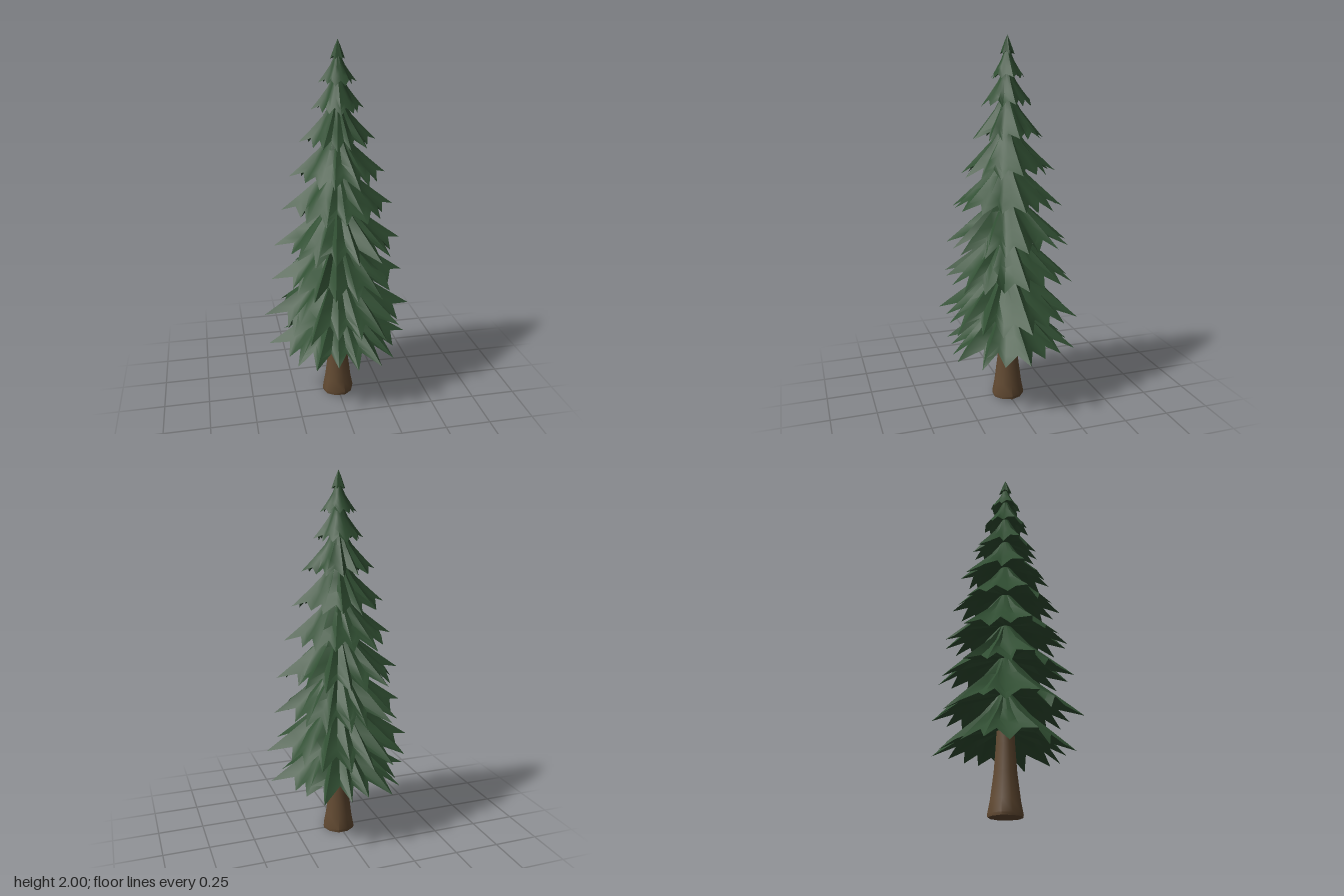
import * as THREE from 'three';
import { toCreasedNormals } from 'three/addons/utils/BufferGeometryUtils.js';

// Small repeatable variation in -1..1
const vary = (a, b) => {
  const s = Math.sin(a * 127.1 + b * 311.7) * 43758.5453;
  return (s - Math.floor(s)) * 2 - 1;
};

// Joins equal-length rings of points into a surface
function skin(rings) {
  const n = rings[0].length;
  const index = [];
  for (let r = 0; r < rings.length - 1; r++) {
    for (let k = 0; k < n; k++) {
      const a = r * n + k, b = r * n + (k + 1) % n;
      index.push(a, b, a + n, b, b + n, a + n);
    }
  }
  const geometry = new THREE.BufferGeometry();
  geometry.setAttribute('position', new THREE.Float32BufferAttribute(rings.flat(2), 3));
  geometry.setIndex(index);
  return toCreasedNormals(geometry, 0.75);
}

// One skirt of drooping pointed branches: pleated top, shallow underside
function tierGeometry(seed, tipY, topY, radius, depth, tips) {
  const H = topY - tipY;
  const size = radius / 0.4;
  const r0 = 0.1 * radius;
  const reach = [1, 0.8, 0.88, 0.98, 0.92];
  const columns = Array.from({ length: tips * 2 }, (_, k) => {
    const isTip = k % 2 === 0;
    const quarter = Math.abs(((k / 2) % tips) - (k / 2 > tips / 2 ? tips : 0));
    const fold = Math.min(quarter, tips / 2 - quarter);
    const main = isTip && fold === 0;
    const twist = main ? 0 : vary(seed, k) * 0.3;
    const angle = (k + twist) * Math.PI / tips;
    // Sideways branches are longest, front and back ones slightly shorter
    const oval = 1 - (1 - depth / radius) * Math.sin(angle) ** 2;
    const jag = main ? 1 : reach[Math.round(fold) % 5] + vary(seed + 7, k) * 0.04;
    const length = isTip ? radius * jag * (main ? 1 : Math.min(1, oval + 0.08))
      : radius * oval * (0.75 + vary(seed + 3, k) * 0.05);
    const sag = main ? 0 : isTip ? 0.03 + 0.015 * vary(seed + 5, k) : 0.01;
    return { angle, length, isTip, sag: sag * size };
  });

  const ring = (t, under) => columns.map(({ angle, length, isTip, sag }) => {
    const r = r0 + (length - r0) * t;
    const along = isTip ? t : t * 0.82;
    let y = topY - H * Math.pow(along, 0.72) - sag * t * t;
    // Ridges run out to the tips, valleys sink between them
    y += (isTip ? 0.011 : -0.006) * size * 4 * t * (1 - t);
    if (under) y -= (isTip ? 0.03 : 0.012) * size;
    return [Math.cos(angle) * r, y, Math.sin(angle) * r];
  });

  const inner = (r, drop) => columns.map(({ angle }) =>
    [Math.cos(angle) * r, topY - H * drop, Math.sin(angle) * r]);
  return skin([ring(0), ring(0.3), ring(0.62), ring(0.85), ring(1),
    ring(0.65, true), inner(r0, 0.68), inner(0.0005, 0.66)]);
}

export function createModel() {
  const tree = new THREE.Group();
  tree.name = 'firTree';
  const needles = new THREE.MeshStandardMaterial({ color: 0x304e32, side: THREE.DoubleSide });
  needles.name = 'needle green';
  const bark = new THREE.MeshStandardMaterial({ color: 0x624a32 });
  bark.name = 'bark brown';

  const add = (name, geometry, material) => {
    const mesh = new THREE.Mesh(geometry, material);
    mesh.name = name;
    tree.add(mesh);
  };

  // Trunk with a flared foot, ending inside the lowest branches
  const sides = 10;
  const trunkRing = (r, y) => Array.from({ length: sides }, (_, k) => {
    const a = k / sides * Math.PI * 2;
    const w = r * (1 + (k % 2 ? -0.03 : 0));
    return [Math.cos(a) * w, y, Math.sin(a) * w];
  });
  add('trunk', skin([
    trunkRing(0.001, 0.48), trunkRing(0.045, 0.47), trunkRing(0.05, 0.36), trunkRing(0.06, 0.22),
    trunkRing(0.078, 0.08), trunkRing(0.091, 0.015), trunkRing(0.089, 0), trunkRing(0.001, 0),
  ]), bark);

  // Branch tiers: tip height, top height, half width, half depth, branch count
  const tiers = [
    [0.34, 0.62, 0.395, 0.33, 18],
    [0.52, 0.82, 0.415, 0.355, 18],
    [0.735, 1.01, 0.368, 0.335, 18],
    [0.93, 1.20, 0.35, 0.325, 18],
    [1.13, 1.38, 0.305, 0.29, 16],
    [1.31, 1.55, 0.26, 0.24, 14],
    [1.49, 1.71, 0.205, 0.175, 14],
    [1.655, 1.84, 0.14, 0.15, 12],
    [1.79, 1.935, 0.10, 0.10, 10],
  ];
  tiers.forEach((tier, i) => add('branchTier' + (i + 1), tierGeometry(i + 1, ...tier), needles));

  // Pointed crown
  const crownRing = (r, y, dip) => Array.from({ length: 12 }, (_, k) => {
    const a = k / 12 * Math.PI * 2;
    const w = k % 2 ? r * 0.75 : r;
    return [Math.cos(a) * w, y - (k % 2 ? 0 : dip), Math.sin(a) * w];
  });
  add('crown', skin([
    crownRing(0.0005, 2, 0), crownRing(0.016, 1.965, 0), crownRing(0.038, 1.92, 0.015),
    crownRing(0.008, 1.92, 0),
  ]), needles);

  return tree;
}
